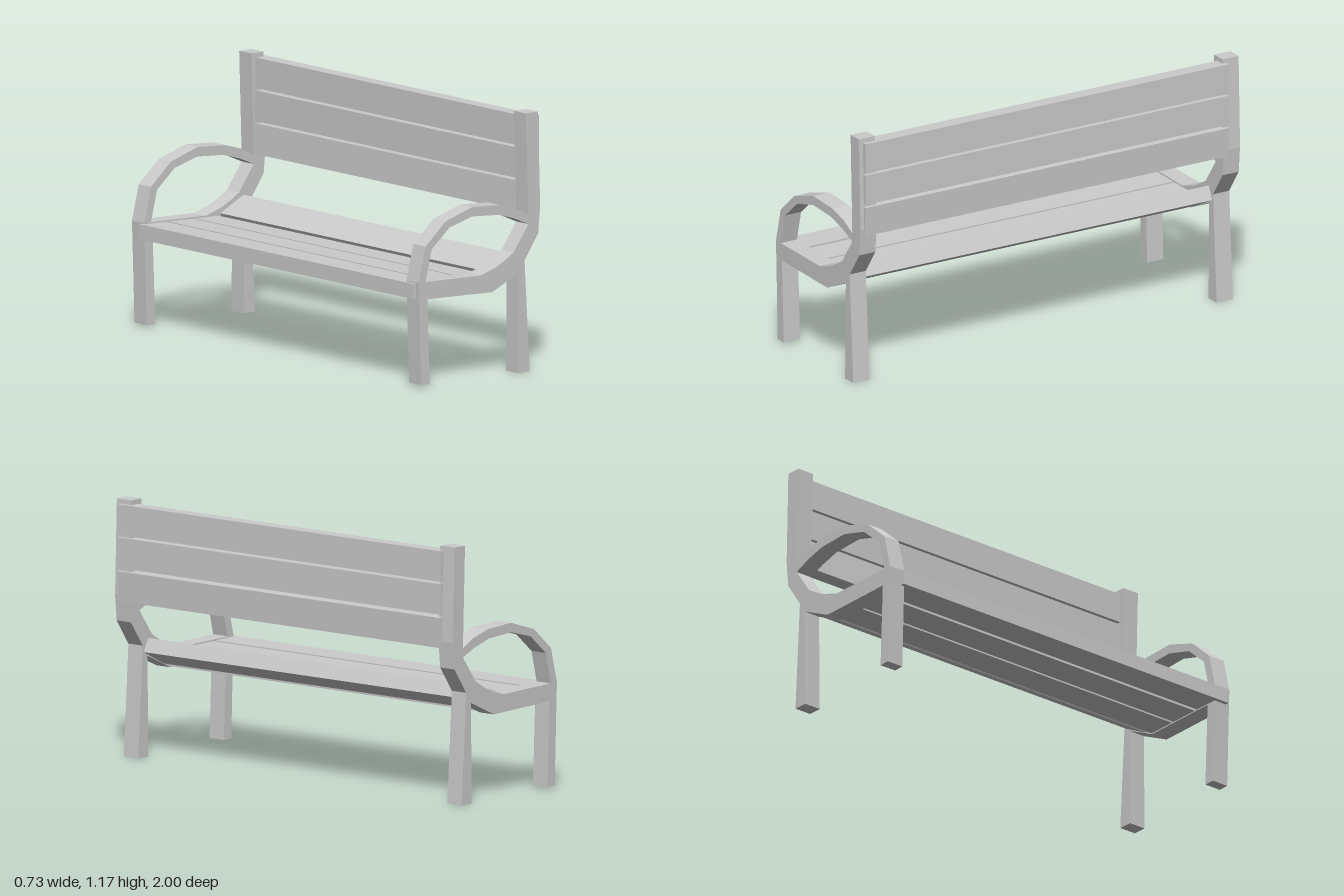
import * as THREE from 'three';

const FRAME_DEPTH = 0.085;
const SLAT_THICKNESS = 0.068;
const SLAT_START = -0.935, SLAT_END = 0.98;

const toPoints = (list) => list.map(([x, y]) => new THREE.Vector2(x, y));

// Side silhouette: both legs, back post, seat rail and armrest in one piece
function sideFrameGeometry() {
  const shape = new THREE.Shape(toPoints([
    [0.225, 0], [0.292, 0], [0.262, 0.505], [0.341, 0.62], [0.352, 0.74], // rear leg and bend
    [0.34, 1.17], [0.27, 1.17], [0.284, 0.708],                            // back post
    [0.215, 0.745], [0.12, 0.773], [-0.04, 0.783], [-0.195, 0.735],        // armrest
    [-0.31, 0.635], [-0.35, 0.475], [-0.347, 0.4],
    [-0.335, 0.012], [-0.285, 0.01], [-0.3, 0.396],                        // front leg
    [0.075, 0.384], [0.23, 0.455],                                         // seat rail underside
  ]));
  shape.holes.push(new THREE.Path(toPoints([
    [-0.31, 0.475], [-0.275, 0.617], [-0.172, 0.705], [-0.04, 0.74], [0.11, 0.73],
    [0.205, 0.702], [0.284, 0.668], [0.2, 0.55], [0.15, 0.52], [0.1, 0.495], [0.01, 0.467],
  ])));
  return new THREE.ExtrudeGeometry(shape, { depth: FRAME_DEPTH, bevelEnabled: false });
}

export function createModel() {
  const bench = new THREE.Group();
  bench.name = 'bench';
  const material = new THREE.MeshStandardMaterial({ color: 0xcccccc, flatShading: true });

  // Two identical side frames
  const frameGeometry = sideFrameGeometry();
  [['leftSideFrame', -1], ['rightSideFrame', 1 - FRAME_DEPTH]].forEach(([name, z]) => {
    const frame = new THREE.Mesh(frameGeometry, material);
    frame.name = name;
    frame.position.z = z;
    bench.add(frame);
  });

  // A slat runs along z; its seating face goes from (x0, y0) to (x1, y1), the body lies to the right of it
  function addSlat(name, [x0, y0], [x1, y1]) {
    const dx = x1 - x0, dy = y1 - y0, width = Math.hypot(dx, dy);
    const slat = new THREE.Mesh(
      new THREE.BoxGeometry(width, SLAT_THICKNESS, SLAT_END - SLAT_START), material);
    slat.name = name;
    slat.rotation.z = Math.atan2(dy, dx);
    slat.position.set(
      (x0 + x1) / 2 + dy / width * SLAT_THICKNESS / 2,
      (y0 + y1) / 2 - dx / width * SLAT_THICKNESS / 2,
      (SLAT_START + SLAT_END) / 2);
    bench.add(slat);
  }

  // Seat slats, front to rear; the last one tips upward
  [
    [[-0.365, 0.47], [-0.226, 0.467]],
    [[-0.21, 0.466], [-0.067, 0.462]],
    [[-0.055, 0.462], [0.082, 0.458]],
    [[0.09, 0.468], [0.225, 0.536]],
  ].forEach(([a, b], i) => addSlat(`seatSlat${i + 1}`, a, b));

  // Backrest slats, bottom to top
  [
    [[0.286, 0.714], [0.294, 0.851]],
    [[0.294, 0.862], [0.294, 1.0]],
    [[0.294, 1.011], [0.294, 1.149]],
  ].forEach(([a, b], i) => addSlat(`backSlat${i + 1}`, a, b));

  return bench;
}
